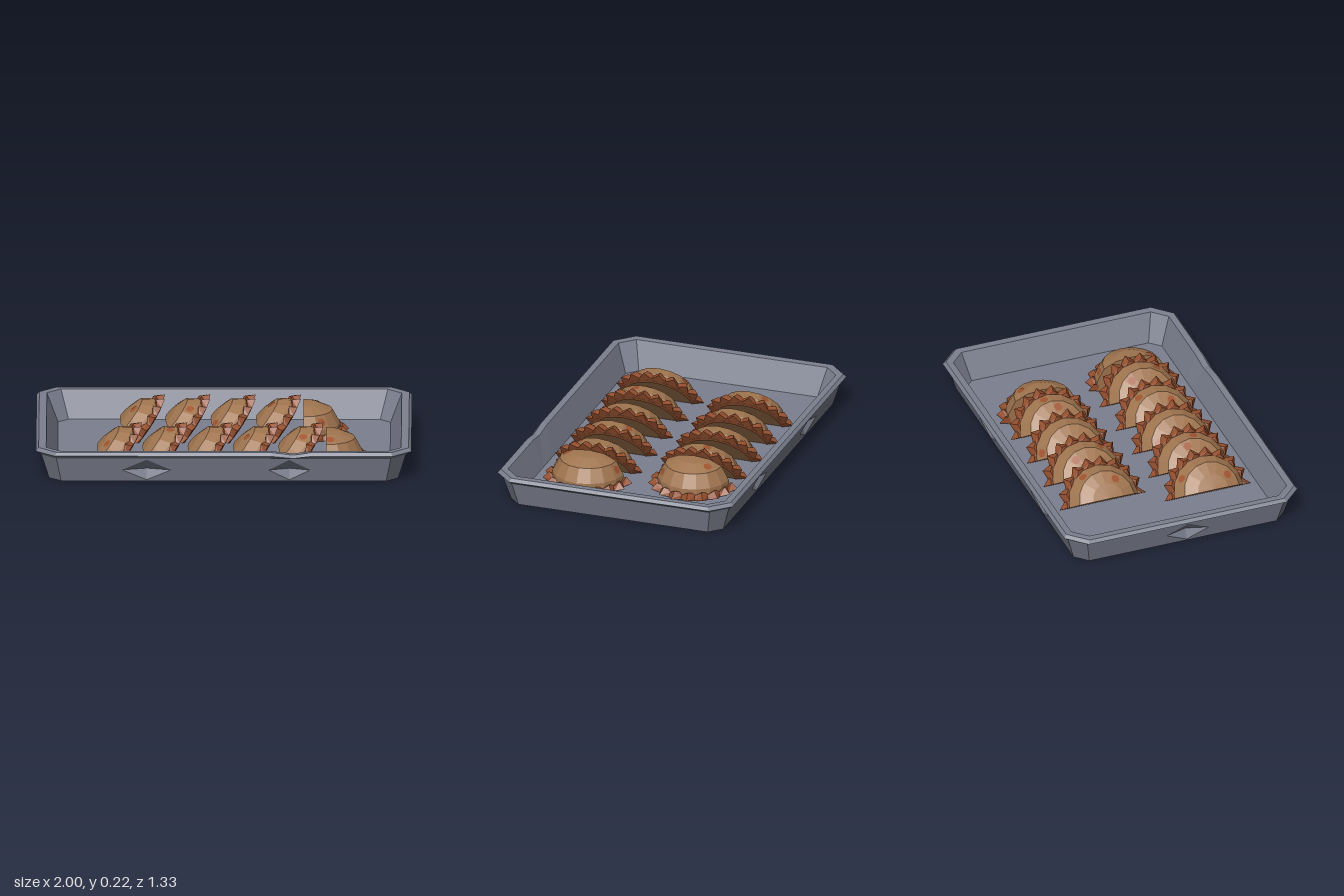
import * as THREE from 'three';

const mat = (name, color) => {
  const m = new THREE.MeshStandardMaterial({ color, side: THREE.DoubleSide, flatShading: true });
  m.name = name;
  return m;
};
const STEEL = mat('slate metal', 0x7c808f);
const DOUGH = mat('baked dough', 0xa0754f);
const CRUST = mat('browned crust', 0x96502f);
const SPOT = mat('toasted spot', 0xa0532f);

function add(parent, name, geometry, material) {
  const g = geometry.index ? geometry.toNonIndexed() : geometry;
  g.computeVertexNormals();
  const mesh = new THREE.Mesh(g, material);
  mesh.name = name;
  parent.add(mesh);
  return mesh;
}

const fromTriangles = (pts) => new THREE.BufferGeometry().setFromPoints(pts);
const quad = (a, b, c, d) => [a, b, c, a, c, d];

// Rectangle with cut corners; the front edge has extra points for a small bend
function ring(hx, hz, c, y, dip = 0) {
  const p = [[c - hx, hz], [0.25, hz], [0.37, hz], [0.47, hz], [hx - c, hz], [hx, hz - c], [hx, c - hz],
    [hx - c, -hz], [c - hx, -hz], [-hx, c - hz], [-hx, hz - c]];
  return p.map(([x, z], i) => new THREE.Vector3(x, i === 2 ? y - dip : y, z));
}

function loft(rings, sides) {
  const tris = [];
  for (let k = 0; k + 1 < rings.length; k++) {
    const a = rings[k], b = rings[k + 1], n = a.length;
    for (const i of sides || a.keys()) {
      const j = (i + 1) % n;
      tris.push(...quad(a[i], a[j], b[j], b[i]));
    }
  }
  return fromTriangles(tris);
}

function fan(r, center) {
  return fromTriangles(r.flatMap((p, i) => [center, p, r[(i + 1) % r.length]]));
}

// Sloping outer wall with diamond-shaped dents pushed inwards
function dentedWall(parent, name, wb, wt, dist, dents, turn) {
  const H = 0.135;
  const out = (y) => dist + 0.04 * y / H;
  const shape = new THREE.Shape([[-wb, 0], [wb, 0], [wt, H], [-wt, H]].map((p) => new THREE.Vector2(...p)));
  const pits = [];
  for (const [x, w] of dents) {
    const d = [[x - w, 0.067], [x, 0.008], [x + w, 0.067], [x, 0.128]];
    shape.holes.push(new THREE.Path(d.map((p) => new THREE.Vector2(...p))));
    const rim = d.map(([u, y]) => new THREE.Vector3(u, y, out(y)));
    const tip = new THREE.Vector3(x, 0.067, out(0.067) - 0.036);
    rim.forEach((p, i) => pits.push(tip, p, rim[(i + 1) % 4]));
  }
  const wall = new THREE.ShapeGeometry(shape);
  const pos = wall.attributes.position;
  for (let i = 0; i < pos.count; i++) pos.setZ(i, out(pos.getY(i)));
  add(parent, name, wall, STEEL).rotation.y = turn;
  add(parent, name + 'Dents', fromTriangles(pits), STEEL).rotation.y = turn;
}

function makeTray() {
  const tray = new THREE.Group();
  tray.name = 'tray';
  const base = ring(0.93, 0.6, 0.065, 0);
  const wallTop = ring(0.97, 0.64, 0.08, 0.135);
  const lip = ring(1, 0.665, 0.1, 0.155, 0.012);
  const rimOut = ring(0.985, 0.65, 0.095, 0.172, 0.015);
  const rimIn = ring(0.945, 0.615, 0.075, 0.17, 0.013);
  const floor = ring(0.885, 0.56, 0.055, 0.018);
  add(tray, 'outerWall', loft([base, wallTop], [4, 5, 6, 8, 10]), STEEL);
  dentedWall(tray, 'frontWall', 0.865, 0.89, 0.6, [[-0.41, 0.13], [0.35, 0.11]], 0);
  dentedWall(tray, 'backWall', 0.865, 0.89, 0.6, [[-0.35, 0.12], [0.42, 0.13]], Math.PI);
  dentedWall(tray, 'sideWall', 0.535, 0.56, 0.93, [[0.02, 0.12]], -Math.PI / 2);
  add(tray, 'rim', loft([wallTop, lip, rimOut, rimIn]), STEEL);
  add(tray, 'innerWall', loft([rimIn, floor]), STEEL);
  add(tray, 'floor', fan(floor, new THREE.Vector3(0, 0.018, 0)), STEEL);
  add(tray, 'underside', fan(base.slice().reverse(), new THREE.Vector3()), STEEL);
  return tray;
}

// Half-dome pastry: straight cut along z at x = 0, curved crust towards +x
const SEG = 8;
function makePastry(index, stretch) {
  const pastry = new THREE.Group();
  pastry.name = 'pastry';
  const profile = [[0.2, 0], [0.195, 0.045], [0.155, 0.1], [0.085, 0.124], [0, 0.13]]
    .map(([r, w]) => new THREE.Vector2(r, w * stretch));
  add(pastry, 'dome', new THREE.LatheGeometry(profile, SEG, 0, Math.PI), DOUGH);
  const outline = [...profile, ...profile.slice(0, -1).reverse().map((p) => new THREE.Vector2(-p.x, p.y))];
  add(pastry, 'cutFace', new THREE.ShapeGeometry(new THREE.Shape(outline)).rotateY(-Math.PI / 2), DOUGH);
  const under = new THREE.CircleGeometry(0.2, SEG, -Math.PI / 2, Math.PI).rotateX(Math.PI / 2);
  add(pastry, 'underside', under, DOUGH);

  // Crimped edge: sections alternate between tooth and notch
  const sections = [];
  for (let i = 0; i <= 18; i++) {
    const a = Math.PI * i / 18, tooth = i % 2 === 0;
    const at = (r, w) => new THREE.Vector3(r * Math.sin(a), w, r * Math.cos(a));
    sections.push([at(0.18, -0.004), at(tooth ? 0.246 : 0.212, tooth ? 0.014 : 0.004),
      at(tooth ? 0.212 : 0.202, tooth ? 0.048 : 0.026), at(0.185, 0.036)]);
  }
  add(pastry, 'crust', loft(sections), CRUST);
  add(pastry, 'crustEnds', fromTriangles([sections[0], sections[18]].flatMap((s) => quad(...s))), CRUST);

  // Toasted spots lying on dome facets
  for (const [seg, band] of [[(index * 3 + 1) % SEG, 2], [(index * 5 + 6) % SEG, 1]]) {
    const a = Math.PI * (seg + 0.5) / SEG, p = profile[band], q = profile[band + 1];
    const k = Math.cos(Math.PI / SEG / 2);
    const r = (p.x + q.x) / 2 * k;
    const n = new THREE.Vector3((q.y - p.y) * Math.sin(a), (p.x - q.x) * k, (q.y - p.y) * Math.cos(a)).normalize();
    const spot = add(pastry, 'spot', new THREE.CircleGeometry(0.024, 6), SPOT);
    spot.position.set(r * Math.sin(a), (p.y + q.y) / 2, r * Math.cos(a)).addScaledVector(n, 0.003);
    spot.quaternion.setFromUnitVectors(new THREE.Vector3(0, 0, 1), n);
  }
  return pastry;
}

// Each pastry leans on the next; the last lies flat
function makeRow(name, startX, z, leaning, seed) {
  const row = new THREE.Group();
  row.name = name;
  for (let i = 0; i <= leaning; i++) {
    const last = i === leaning;
    const pastry = makePastry(i + seed, last ? 1.32 : 1);
    pastry.position.set(startX + 0.2415 * i + (last ? 0.012 : 0.102), 0.022, z);
    pastry.rotation.z = last ? 0 : 0.91;
    row.add(pastry);
  }
  return row;
}

export function createModel() {
  const model = new THREE.Group();
  model.name = 'trayOfPastries';
  model.add(makeTray(), makeRow('frontRow', -0.675, 0.275, 5, 0), makeRow('backRow', -0.555, -0.278, 4, 3));
  return model;
}
